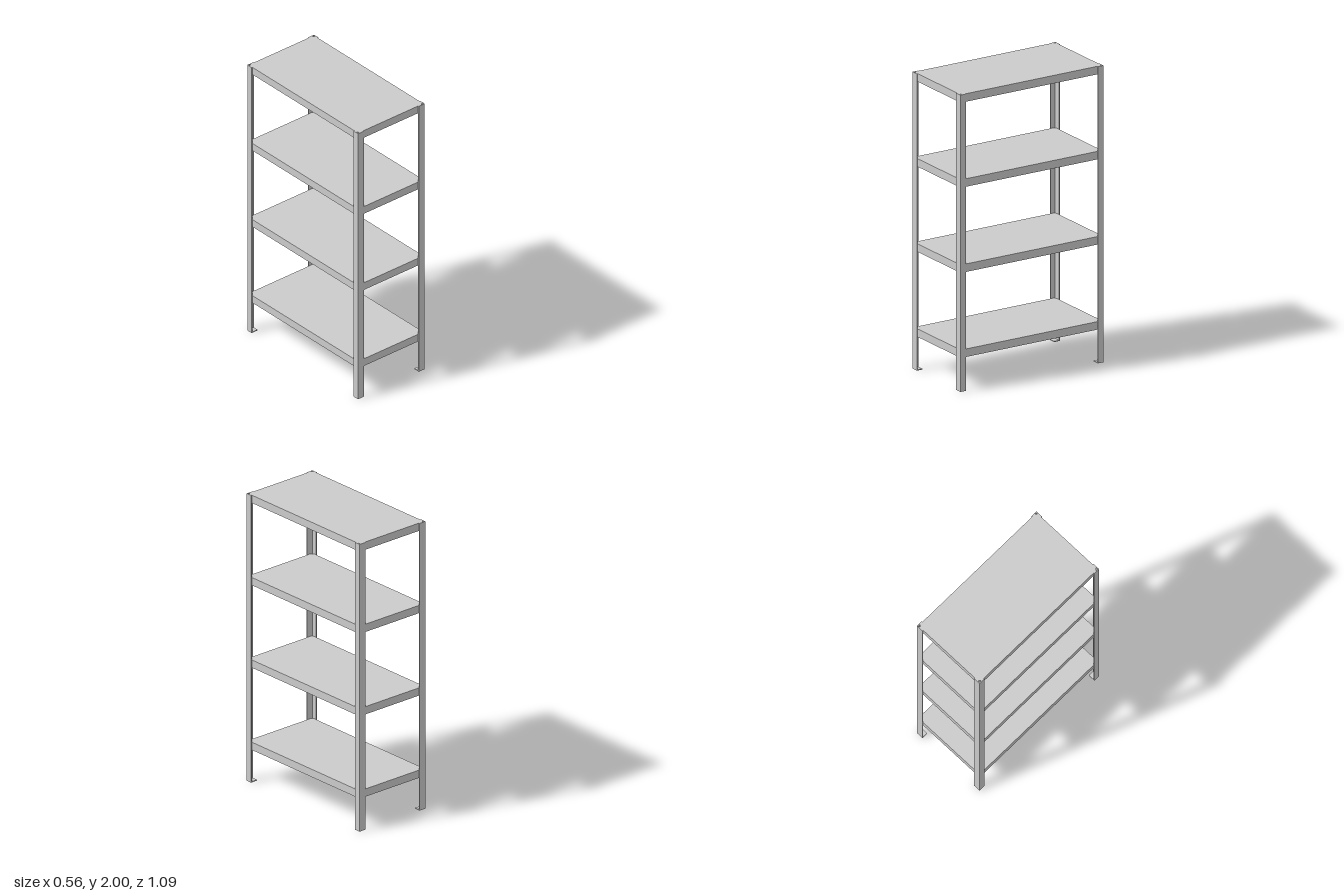
import * as THREE from 'three';

const X = 0.28, Z = 0.545, T = 0.006; // half width, half depth, sheet thickness
const FX = 0.05, FZ = 0.043;          // post flange widths
const material = new THREE.MeshStandardMaterial({ color: 0xcccccc, flatShading: true });

// Rectangle with small cut corners, given half sizes
function outline(hx, hz, c, Kind = THREE.Shape) {
  return new Kind([
    [hx - c, -hz], [hx, -hz + c], [hx, hz - c], [hx - c, hz],
    [-hx + c, hz], [-hx, hz - c], [-hx, -hz + c], [-hx + c, -hz],
  ].map(([x, y]) => new THREE.Vector2(x, y)));
}

// Flat shape extruded upward from height y
function slab(name, shape, y, height) {
  const geometry = new THREE.ExtrudeGeometry(shape, { depth: height, bevelEnabled: false });
  geometry.rotateX(-Math.PI / 2);
  const mesh = new THREE.Mesh(geometry, material);
  mesh.name = name;
  mesh.position.y = y;
  return mesh;
}

// Folded sheet shelf: top panel, skirt and inward lip
function makeShelf(top) {
  const shelf = new THREE.Group();
  shelf.name = 'shelf';
  const hx = X - T, hz = Z - T, cut = 0.015, drop = 0.054;
  const ring = (width) => {
    const shape = outline(hx, hz, cut);
    shape.holes.push(outline(hx - width, hz - width, cut - width * 0.58, THREE.Path));
    return shape;
  };
  shelf.add(
    slab('shelfPanel', outline(hx, hz, cut), top - T, T),
    slab('shelfSkirt', ring(T), top - drop + T, drop - 2 * T),
    slab('shelfLip', ring(0.014), top - drop, T),
  );
  return shelf;
}

// L-section corner post with a thin foot plate
function makePost(sx, sz) {
  const post = new THREE.Group();
  post.name = (sz > 0 ? 'front' : 'back') + (sx > 0 ? 'Left' : 'Right') + 'Post';
  const points = (list) => new THREE.Shape(
    list.map(([x, z]) => new THREE.Vector2(sx * (X - x), -sz * (Z - z))));
  post.add(
    slab('angleProfile', points([[0, 0], [FX, 0], [FX, T], [T, T], [T, FZ], [0, FZ]]), 0, 2),
    slab('footPlate', points([[T, T], [FX, T], [FX, FZ], [T, FZ]]), 0, T),
  );
  return post;
}

export function createModel() {
  const model = new THREE.Group();
  model.name = 'shelvingUnit';
  for (const sx of [-1, 1]) for (const sz of [-1, 1]) model.add(makePost(sx, sz));
  for (const top of [0.28, 0.853, 1.427, 2]) model.add(makeShelf(top));
  return model;
}
